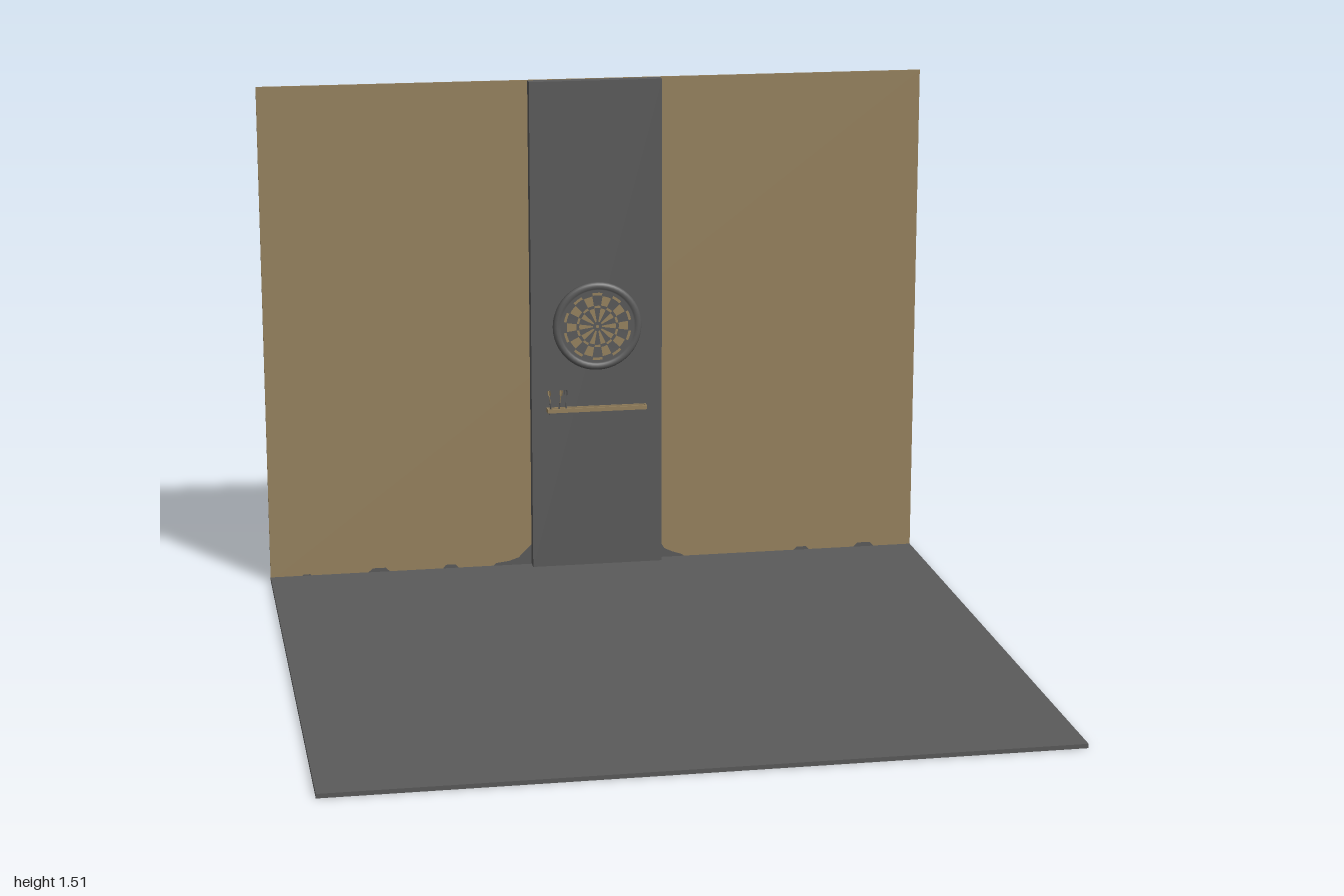
import * as THREE from 'three';
import { mergeGeometries } from 'three/addons/utils/BufferGeometryUtils.js';

export function createModel() {
  const root = new THREE.Group();
  const grey = new THREE.MeshStandardMaterial({ color: 0x5a5a5a, side: THREE.DoubleSide });
  grey.name = 'charcoal grey';
  const tan = new THREE.MeshStandardMaterial({ color: 0x96825e, side: THREE.DoubleSide });
  tan.name = 'tan wood';

  const add = (name, geo, mat, x = 0, y = 0, z = 0, parent = root) => {
    const m = new THREE.Mesh(geo, mat);
    m.name = name;
    m.position.set(x, y, z);
    parent.add(m);
    return m;
  };
  const box = (name, mat, x0, x1, y0, y1, z0, z1, parent = root) =>
    add(name, new THREE.BoxGeometry(x1 - x0, y1 - y0, z1 - z0), mat,
      (x0 + x1) / 2, (y0 + y1) / 2, (z0 + z1) / 2, parent);

  // Room: floor slab, thin back wall and projecting centre panel
  box('floor', grey, -1, 1, 0, 0.012, -0.902, 0.908);
  box('wall', tan, -1, 1, 0.001, 1.51, -0.908, -0.902);
  box('centrePanel', grey, -0.2, 0.2, 0.012, 1.509, -0.902, -0.867);

  // Low uneven patches along the foot of the wall
  const patch = (pts, z) => {
    const s = new THREE.Shape(pts.map(([x, y]) => new THREE.Vector2(x, y)));
    add('wallFootPatch', new THREE.ShapeGeometry(s), grey, 0, 0, z);
  };
  const front = -0.9012, back = -0.9088;
  patch([[-0.32, 0.01], [-0.31, 0.02], [-0.27, 0.025], [-0.24, 0.035], [-0.215, 0.06], [-0.2, 0.075], [-0.2, 0.01]], front);
  patch([[0.2, 0.01], [0.2, 0.065], [0.215, 0.04], [0.24, 0.028], [0.27, 0.018], [0.28, 0.01]], front);
  const bump = (x, w, h, z) =>
    patch([[x - w, 0.005], [x - w * 0.5, h], [x + w * 0.5, h], [x + w, 0.005]], z);
  for (const [x, w, h] of [[-0.89, 0.02, 0.016], [-0.67, 0.04, 0.024], [-0.45, 0.03, 0.023],
    [0.65, 0.03, 0.022], [0.85, 0.04, 0.025]]) bump(x, w, h, front);
  for (const [x, w, h] of [[-0.22, 0.04, 0.03], [0.22, 0.04, 0.03], [0.89, 0.03, 0.018]]) bump(x, w, h, back);

  // Dartboard: turned body with a rounded rim and a recessed face
  const board = new THREE.Group();
  board.name = 'dartboard';
  board.position.set(0, 0.765, -0.867);
  root.add(board);
  const profile = [[0, 0], [0.129, 0], [0.135, 0.004], [0.135, 0.014], [0.131, 0.02],
    [0.124, 0.022], [0.116, 0.02], [0.112, 0.016], [0, 0.016]].map(p => new THREE.Vector2(...p));
  const body = new THREE.LatheGeometry(profile, 48);
  body.rotateX(Math.PI / 2);
  add('boardBody', body, grey, 0, 0, 0, board);

  // Scoring segments: alternate sectors, with narrow rings in the opposite sectors
  const step = Math.PI / 10;
  const segments = [];
  for (const [r0, r1, parity] of [[0.014, 0.056, 0], [0.057, 0.064, 1], [0.065, 0.094, 0], [0.096, 0.104, 1]]) {
    for (let i = parity; i < 20; i += 2) {
      segments.push(new THREE.RingGeometry(r0, r1, 3, 1, (i - 0.5) * step + 0.01, step - 0.02));
    }
  }
  segments.push(new THREE.CircleGeometry(0.005, 16));
  add('scoringSegments', mergeGeometries(segments), tan, 0, 0, 0.0168, board);

  // Shelf: tray with a raised lip
  const shelf = new THREE.Group();
  shelf.name = 'shelf';
  root.add(shelf);
  box('shelfBase', grey, -0.15, 0.145, 0.497, 0.507, -0.867, -0.842, shelf);
  box('shelfFrontLip', tan, -0.155, 0.15, 0.503, 0.515, -0.844, -0.84, shelf);
  box('shelfBackLip', tan, -0.155, 0.15, 0.503, 0.515, -0.867, -0.864, shelf);
  for (const x of [-0.155, 0.146]) box('shelfEndLip', tan, x, x + 0.004, 0.503, 0.515, -0.864, -0.844, shelf);

  // Darts standing in the shelf, flights up
  [[-0.143, tan, 0.1], [-0.119, tan, -0.12], [-0.097, grey, 0]].forEach(([x, mat, lean]) => {
    const dart = new THREE.Group();
    dart.name = 'dart';
    dart.position.set(x, 0.507, -0.852);
    dart.rotation.z = lean;
    root.add(dart);
    add('dartBarrel', new THREE.CylinderGeometry(0.0025, 0.002, 0.025, 8), grey, 0, 0.0125, 0, dart);
    add('dartShaft', new THREE.CylinderGeometry(0.0012, 0.0012, 0.035, 6), mat, 0, 0.042, 0, dart);
    const flight = new THREE.Shape([[-0.001, 0.045], [-0.006, 0.051], [-0.006, 0.064], [0.006, 0.064],
      [0.006, 0.051], [0.001, 0.045]].map(p => new THREE.Vector2(...p)));
    for (const a of [Math.PI / 4, -Math.PI / 4]) {
      add('dartFlight', new THREE.ShapeGeometry(flight), mat, 0, 0, 0, dart).rotation.y = a;
    }
  });

  return root;
}
